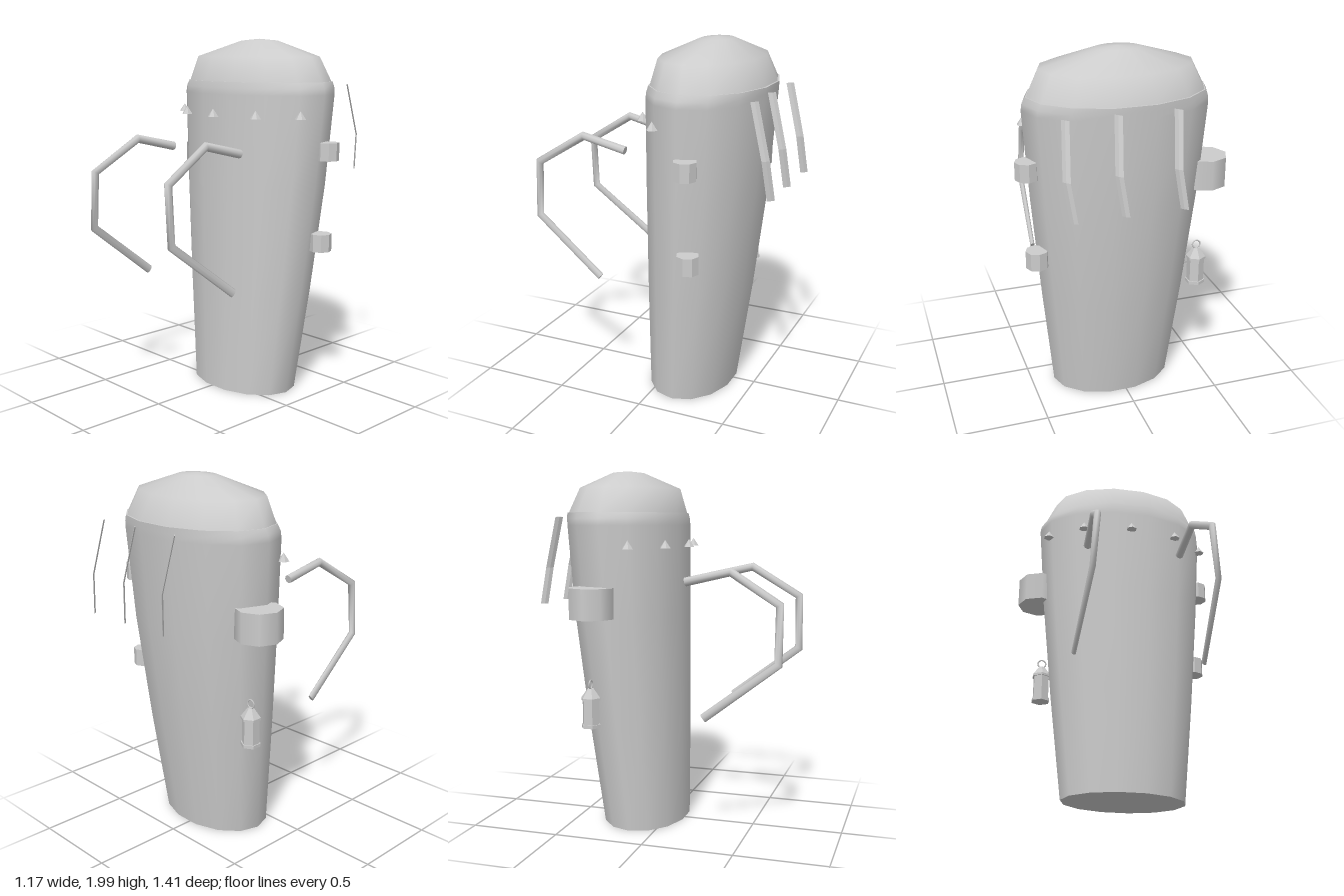
import * as THREE from 'three';

const V = (x, y, z) => new THREE.Vector3(x, y, z);
const CX = 0.025; // the pack's own middle

// Skin a list of rings (arrays of points), capping both ends
function loft(rings, flat = false) {
  const n = rings[0].length, pts = rings.flat(), index = [];
  for (let i = 0; i < rings.length - 1; i++) {
    for (let j = 0; j < n; j++) {
      const a = i * n + j, b = i * n + (j + 1) % n;
      index.push(a, a + n, b, b, a + n, b + n);
    }
  }
  [rings[0], rings[rings.length - 1]].forEach((ring, end) => {
    const base = pts.length;
    pts.push(...ring);
    for (let j = 1; j < n - 1; j++) {
      index.push(base, base + (end ? j + 1 : j), base + (end ? j : j + 1));
    }
  });
  const geo = new THREE.BufferGeometry().setFromPoints(pts);
  geo.setIndex(index);
  return flat ? facet(geo) : (geo.computeVertexNormals(), geo);
}

function facet(geo) {
  const g = geo.toNonIndexed();
  g.computeVertexNormals();
  return g;
}

// Oval ring with 14 sides between a front and a back depth
function oval(y, rx, front, back) {
  return Array.from({ length: 14 }, (_, j) => {
    const a = j / 14 * Math.PI * 2;
    return V(CX + rx * Math.cos(a), y, (front + back) / 2 + (front - back) / 2 * Math.sin(a));
  });
}

// Sweep a flattened section along a path; sideAt gives the half width vector
function sweep(path, sides, sideAt, thick, flat) {
  return loft(path.map((p, i) => {
    const before = path[Math.max(i - 1, 0)], after = path[Math.min(i + 1, path.length - 1)];
    const d1 = p.clone().sub(before).normalize(), d2 = after.clone().sub(p).normalize();
    const v = sideAt(i);
    const u = d1.add(d2).cross(v).normalize().multiplyScalar(thick);
    return Array.from({ length: sides }, (_, j) => {
      const a = j / sides * Math.PI * 2;
      return p.clone().addScaledVector(u, Math.cos(a)).addScaledVector(v, Math.sin(a));
    });
  }), flat);
}

export function createModel() {
  const model = new THREE.Group();
  const grey = new THREE.MeshStandardMaterial({ color: 0xcccccc });
  grey.name = 'plainGrey';
  const add = (name, geo, x = 0, y = 0, z = 0, parent = model) => {
    const mesh = new THREE.Mesh(geo, grey);
    mesh.name = name;
    mesh.position.set(x, y, z);
    parent.add(mesh);
    return mesh;
  };

  // Tapered oval bag
  add('bagBody', loft([
    oval(0.01, 0.345, 0.1, -0.378),
    oval(0.6, 0.41, 0.1, -0.46),
    oval(1.2, 0.467, 0.096, -0.53),
    oval(1.7, 0.503, 0.09, -0.565),
    oval(1.735, 0.498, 0.088, -0.568),
    oval(1.768, 0.48, 0.08, -0.57),
  ]));

  // Domed lid
  add('lid', loft([
    oval(1.73, 0.496, 0.086, -0.566),
    oval(1.768, 0.475, 0.072, -0.56),
    oval(1.902, 0.41, 0.035, -0.5),
    oval(1.99, 0.12, -0.165, -0.335),
    oval(2.0, 0.002, -0.249, -0.251),
  ]));

  // Pointed studs below the rim
  [[0, 0.107], [0.275, 0.055], [-0.275, 0.055], [0.465, -0.09], [-0.465, -0.09]].forEach(([x, z]) =>
    add('stud', facet(new THREE.ConeGeometry(0.031, 0.045, 6)), CX + x, 1.6, z));

  // Pouches on the two sides
  add('largePouch', new THREE.CylinderGeometry(0.126, 0.126, 0.165, 8), -0.46, 1.293, -0.288);
  [[0.52, 1.397], [0.48, 0.888]].forEach(([x, y]) =>
    add('smallPouch', facet(new THREE.CylinderGeometry(0.062, 0.062, 0.098, 8)), x, y, -0.283));

  // Hanging lantern
  const lantern = new THREE.Group();
  lantern.name = 'lantern';
  lantern.position.set(-0.428, 0, -0.31);
  model.add(lantern);
  const hex = (name, top, bottom, y0, y1) =>
    add(name, facet(new THREE.CylinderGeometry(top, bottom, y1 - y0, 6)), 0, (y0 + y1) / 2, 0, lantern);
  hex('lanternBase', 0.055, 0.055, 0.615, 0.633);
  hex('lanternGlass', 0.048, 0.048, 0.633, 0.765);
  hex('lanternRim', 0.055, 0.055, 0.765, 0.778);
  hex('lanternRoof', 0.018, 0.055, 0.778, 0.828);
  add('lanternRing', new THREE.TorusGeometry(0.023, 0.004, 6, 14), 0, 0.85, 0, lantern);

  // Shoulder straps standing out at the front
  const strap = [
    [0.27, 1.4, 0.165], [0.278, 1.458, 0.415], [0.305, 1.292, 0.685],
    [0.325, 0.985, 0.685], [0.352, 0.682, 0.29],
  ];
  const halfWidths = [0.023, 0.022, 0.019, 0.016, 0.013];
  [1, -1].forEach((s) => {
    const path = strap.map(([x, y, z]) => V(CX + s * x, y, z));
    add(s > 0 ? 'leftStrap' : 'rightStrap', sweep(path, 8, (i) => V(halfWidths[i], 0, 0), 0.024));
  });

  // Loose ribbons behind the bag
  [0, 0.308, 0.571].forEach((dx) => {
    const path = [V(-0.178 + dx, 1.745, -0.592), V(-0.16 + dx, 1.46, -0.664), V(-0.188 + dx, 1.255, -0.688)];
    add('backRibbon', sweep(path, 4, () => V(0.016, 0, 0.016), 0.004, true));
  });

  return model;
}
